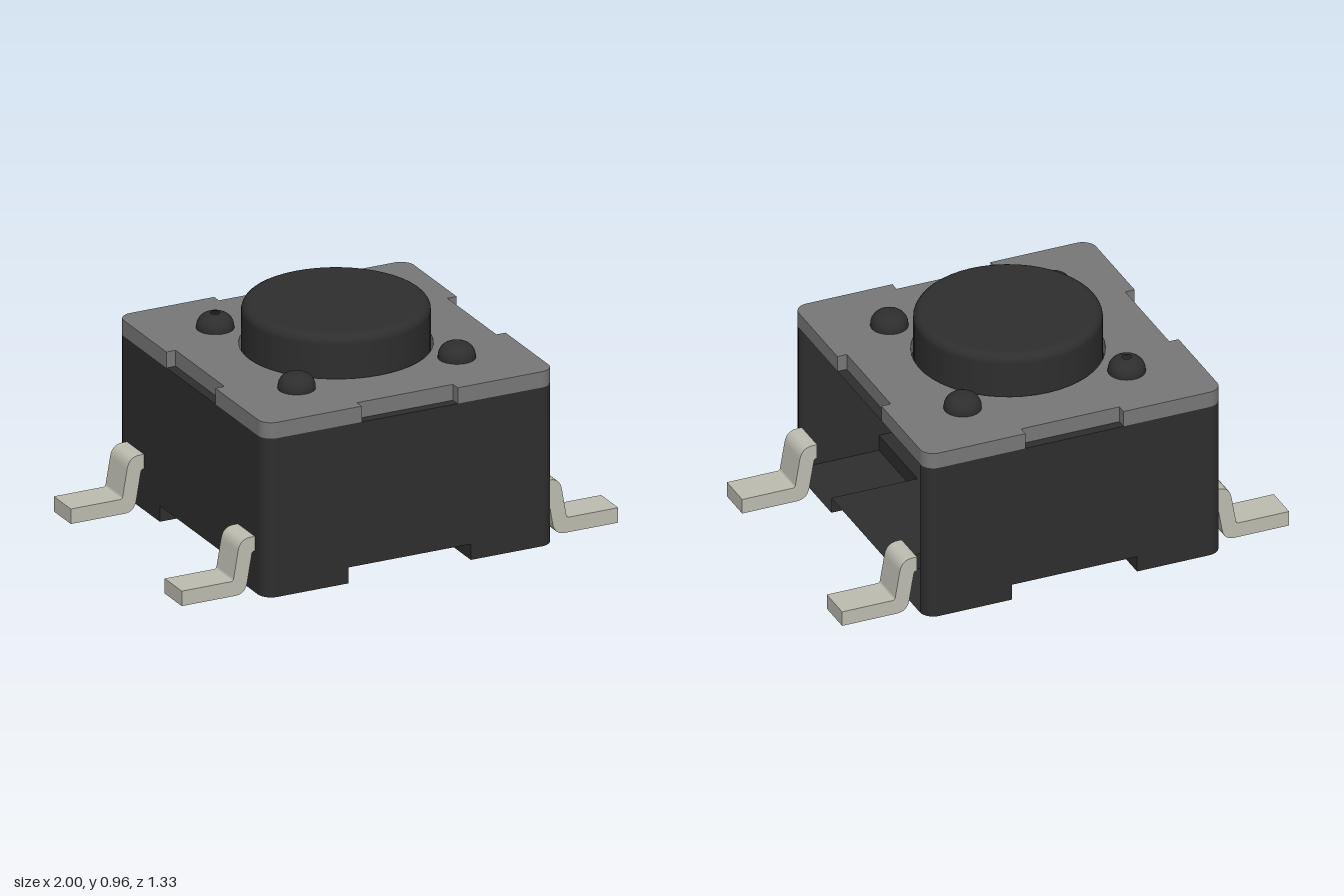
import * as THREE from 'three';

const H = 0.665;      // half width of body and lid
const R = 0.06;       // corner radius
const ARM = 0.28;     // half width of the recesses under the body
const FLOOR = 0.07, RIM = 0.7, TOP = 0.77;

export function createModel() {
  const model = new THREE.Group();
  const side = THREE.DoubleSide;
  const mat = (name, color) => {
    const m = new THREE.MeshStandardMaterial({ color, side });
    m.name = name;
    return m;
  };
  const black = mat('black plastic', 0x2e2e2e);
  const grey = mat('grey metal plate', 0x787878);
  const silver = mat('silver terminal', 0xbdbdb1);

  const add = (name, geometry, material, parent = model) => {
    const mesh = new THREE.Mesh(geometry, material);
    mesh.name = name;
    parent.add(mesh);
    return mesh;
  };
  const polygon = (pts) => new THREE.Shape(pts.map(([x, y]) => new THREE.Vector2(x, y)));

  // Hollow housing: three walls, the +x side stays open
  const housing = new THREE.Group();
  housing.name = 'housing';
  model.add(housing);
  const w = H - R;
  const wallShape = polygon([
    [-w, 0], [-ARM, 0], [-ARM, FLOOR], [ARM, FLOOR], [ARM, 0], [w, 0], [w, RIM], [-w, RIM],
  ]);
  [['frontWall', 0], ['backWall', Math.PI], ['sideWall', -Math.PI / 2]].forEach(([name, turn]) => {
    const g = new THREE.ShapeGeometry(wallShape);
    g.translate(0, 0, H).rotateY(turn);
    add(name, g, black, housing);
  });

  // Rounded vertical corners
  for (let i = 0; i < 4; i++) {
    const g = new THREE.CylinderGeometry(R, R, RIM, 8, 1, true, 0, Math.PI / 2);
    g.translate(w, RIM / 2, w).rotateY(i * Math.PI / 2);
    add('cornerWall', g, black, housing);
  }

  // Cross-shaped raised floor
  const cross = polygon([
    [-ARM, -H], [ARM, -H], [ARM, -ARM], [H, -ARM], [H, ARM], [ARM, ARM],
    [ARM, H], [-ARM, H], [-ARM, ARM], [-H, ARM], [-H, -ARM], [-ARM, -ARM],
  ]);
  const floor = new THREE.ShapeGeometry(cross);
  floor.rotateX(Math.PI / 2).translate(0, FLOOR, 0);
  add('floor', floor, black, housing);

  // Corner feet; the one at -x, -z has no underside
  const footShape = new THREE.Shape();
  footShape.moveTo(ARM, ARM);
  footShape.lineTo(H, ARM);
  footShape.lineTo(H, w);
  footShape.absarc(w, w, R, 0, Math.PI / 2, false);
  footShape.lineTo(ARM, H);
  for (let i = 0; i < 4; i++) {
    const turn = i * Math.PI / 2;
    if (i !== 2) {
      const g = new THREE.ShapeGeometry(footShape, 8);
      g.rotateX(Math.PI / 2).rotateY(turn);
      add('footSole', g, black, housing);
    }
    const mid = (ARM + H) / 2;
    const a = new THREE.PlaneGeometry(H - ARM, FLOOR);
    a.rotateY(Math.PI).translate(mid, FLOOR / 2, ARM).rotateY(turn);
    add('footSide', a, black, housing);
    const b = new THREE.PlaneGeometry(H - ARM, FLOOR);
    b.rotateY(-Math.PI / 2).translate(ARM, FLOOR / 2, mid).rotateY(turn);
    add('footSide', b, black, housing);
  }

  // Ledges of the housing showing through the lid notches
  const NOTCH = 0.22, DEPTH = 0.042;
  for (let i = 0; i < 4; i++) {
    const g = new THREE.PlaneGeometry(2 * NOTCH, DEPTH);
    g.rotateX(-Math.PI / 2).translate(0, RIM, H - DEPTH / 2).rotateY(i * Math.PI / 2);
    add('rimLedge', g, black, housing);
  }

  // Lid plate with edge notches and holes
  const lid = new THREE.Shape();
  for (let i = 0; i < 4; i++) {
    const a = i * Math.PI / 2, c = Math.round(Math.cos(a)), s = Math.round(Math.sin(a));
    const rot = (x, y) => [x * c - y * s, x * s + y * c];
    [[H, -w], [H, -NOTCH], [H - DEPTH, -NOTCH], [H - DEPTH, NOTCH], [H, NOTCH], [H, w]].forEach(([x, y], k) => {
      if (i === 0 && k === 0) lid.moveTo(...rot(x, y));
      else lid.lineTo(...rot(x, y));
    });
    lid.absarc(...rot(w, w), R, a, a + Math.PI / 2, false);
  }
  const hole = (x, y, r) => lid.holes.push(new THREE.Path().absarc(x, y, r, 0, Math.PI * 2, true));
  const P = 0.367, BUMP = 0.078;
  hole(0, 0, 0.398);
  for (const x of [-P, P]) for (const y of [-P, P]) hole(x, y, BUMP);
  const lidGeo = new THREE.ExtrudeGeometry(lid, { depth: TOP - RIM, bevelEnabled: false, curveSegments: 24 });
  lidGeo.rotateX(-Math.PI / 2).translate(0, RIM, 0);
  add('lid', lidGeo, grey);

  // Round-topped post: straight side, fillet, optional flat top
  const post = (r, bottom, top, fillet) => {
    const pts = [new THREE.Vector2(r, bottom), new THREE.Vector2(r, top - fillet)];
    for (let i = 1; i <= 8; i++) {
      const a = (i / 8) * Math.PI / 2;
      pts.push(new THREE.Vector2(r - fillet + fillet * Math.cos(a), top - fillet + fillet * Math.sin(a)));
    }
    return new THREE.LatheGeometry(pts, 48);
  };
  const disc = (r, y) => new THREE.CircleGeometry(r, 48).rotateX(-Math.PI / 2).translate(0, y, 0);

  // Push button
  add('buttonSide', post(0.388, RIM, 0.957, 0.04), black);
  add('buttonTop', disc(0.348, 0.957), black);

  // Four rivet heads; the one at -x, -z is open on top
  for (const x of [-P, P]) for (const z of [-P, P]) {
    const rivet = new THREE.Group();
    rivet.name = 'rivet';
    rivet.position.set(x, 0, z);
    add('rivetSide', post(BUMP, RIM, 0.836, 0.058), black, rivet);
    if (x > 0 || z > 0) add('rivetTop', disc(0.02, 0.836), black, rivet);
    model.add(rivet);
  }

  // Bent terminals
  const pin = new THREE.Shape();
  pin.moveTo(1, 0);
  pin.lineTo(1, 0.066);
  pin.lineTo(0.775, 0.066);
  pin.quadraticCurveTo(0.764, 0.066, 0.762, 0.078);
  pin.lineTo(0.742, 0.195);
  pin.quadraticCurveTo(0.733, 0.246, 0.685, 0.246);
  pin.lineTo(H, 0.246);
  pin.lineTo(H, 0.182);
  pin.quadraticCurveTo(0.677, 0.182, 0.679, 0.172);
  pin.lineTo(0.7, 0.05);
  pin.quadraticCurveTo(0.708, 0, 0.755, 0);
  const pinGeo = new THREE.ExtrudeGeometry(pin, { depth: 0.154, bevelEnabled: false, curveSegments: 8 });
  pinGeo.translate(0, 0, -0.077);
  for (const turn of [0, Math.PI]) for (const z of [-0.5, 0.5]) {
    const terminal = add('terminal', pinGeo, silver);
    terminal.rotation.y = turn;
    terminal.position.z = z;
  }
  return model;
}
